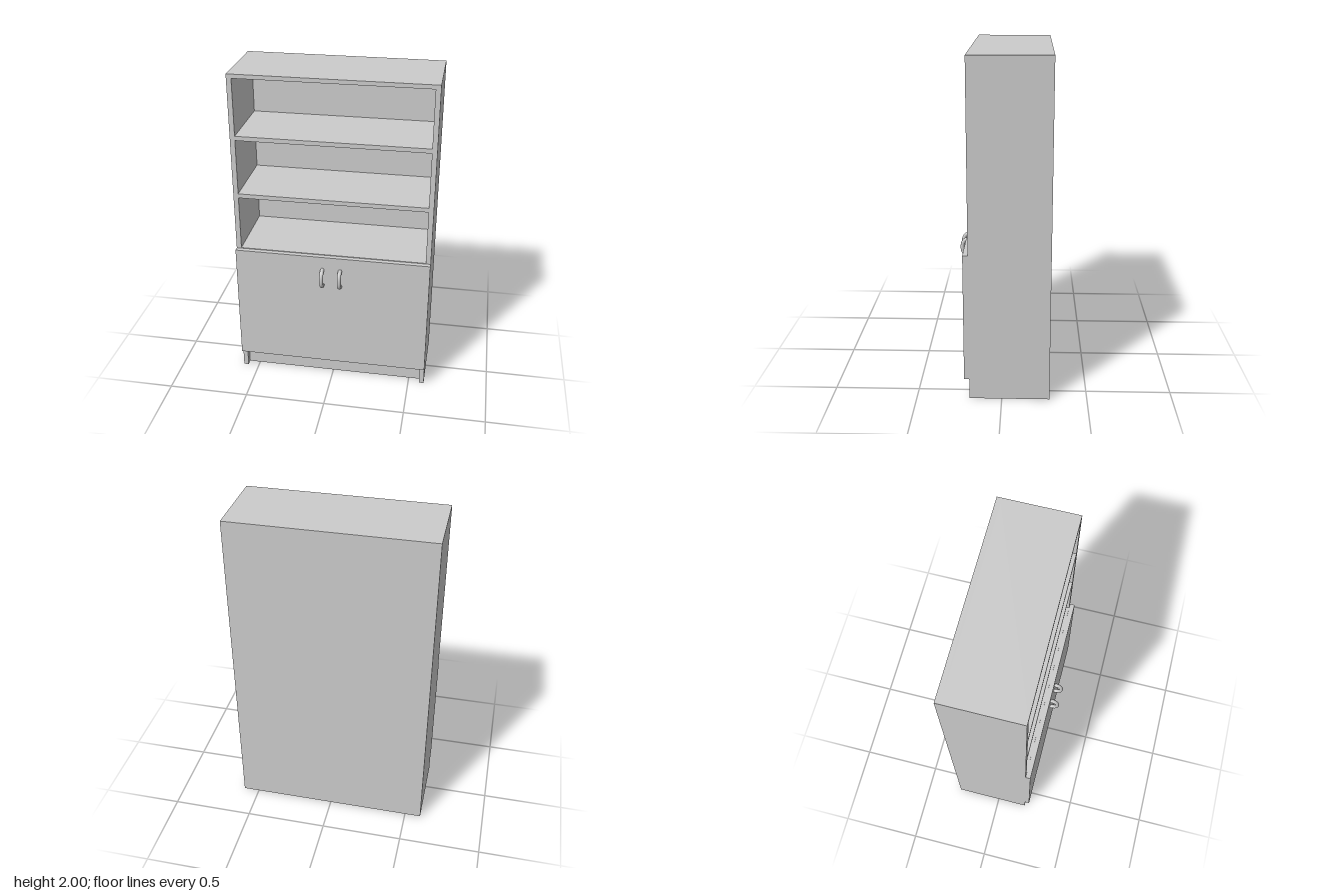
import * as THREE from 'three';

export function createModel() {
  const group = new THREE.Group();
  const material = new THREE.MeshStandardMaterial({ color: 0xcccccc });

  // Board spanning the given minimum and maximum corners
  function board(name, [x0, y0, z0], [x1, y1, z1]) {
    const mesh = new THREE.Mesh(new THREE.BoxGeometry(x1 - x0, y1 - y0, z1 - z0), material);
    mesh.position.set((x0 + x1) / 2, (y0 + y1) / 2, (z0 + z1) / 2);
    mesh.name = name;
    group.add(mesh);
  }

  const W = 0.6, T = 0.03, IN = W - T;
  const BACK = -0.28, FRONT = 0.19;
  const INNER = BACK + T;

  // Carcass
  board('leftSide', [IN, 0, BACK], [W, 2, FRONT]);
  board('rightSide', [-W, 0, BACK], [-IN, 2, FRONT]);
  board('backPanel', [-IN, 0, BACK], [IN, 2, INNER]);
  board('topPanel', [-IN, 1.975, INNER], [IN, 2, FRONT]);

  // Shelves, the lowest one being the cabinet floor
  for (const top of [1.63, 1.262, 0.894, 0.155]) {
    const thickness = top < 0.2 ? 0.03 : 0.027;
    board('shelf', [-IN, top - thickness, INNER], [IN, top, FRONT]);
  }

  // Recessed plinth under the cabinet floor
  board('plinth', [-IN, 0, 0.12], [IN, 0.126, 0.15]);

  // Overlay door front, the two leaves meeting without a gap
  board('doorFront', [-W, 0.126, FRONT], [W, 0.89, 0.22]);

  // Bow handles
  const bow = [
    [-0.053, 0.21], [-0.053, 0.226], [-0.046, 0.247], [-0.027, 0.26], [0, 0.264],
    [0.027, 0.26], [0.046, 0.247], [0.053, 0.226], [0.053, 0.21],
  ].map(([y, z]) => new THREE.Vector3(0, y, z));
  const bowGeometry = new THREE.TubeGeometry(new THREE.CatmullRomCurve3(bow), 40, 0.012, 16);
  for (const side of [-1, 1]) {
    const handle = new THREE.Mesh(bowGeometry, material);
    handle.name = side > 0 ? 'leftHandle' : 'rightHandle';
    handle.position.set(side * 0.055, 0.75, 0);
    group.add(handle);
  }

  return group;
}
